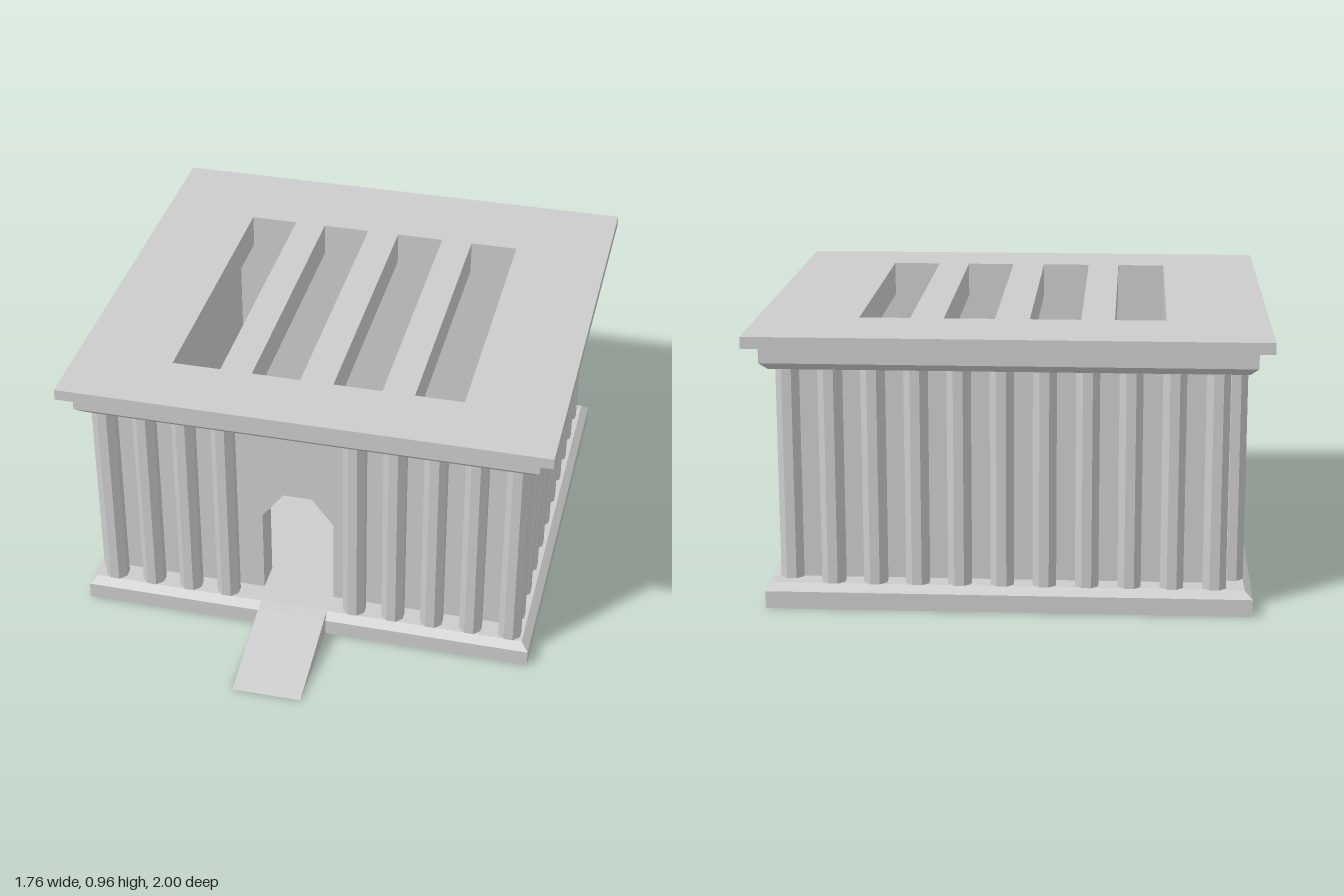
import * as THREE from 'three';

const material = new THREE.MeshStandardMaterial({ color: 0xcccccc, flatShading: true });

function add(group, name, geometry, x = 0, y = 0, z = 0) {
  const mesh = new THREE.Mesh(geometry, material);
  mesh.name = name;
  mesh.position.set(x, y, z);
  group.add(mesh);
  return mesh;
}

// Box given by its limits
function block(group, name, x0, x1, y0, y1, z0, z1) {
  return add(group, name, new THREE.BoxGeometry(x1 - x0, y1 - y0, z1 - z0),
    (x0 + x1) / 2, (y0 + y1) / 2, (z0 + z1) / 2);
}

function polygon(points, Type = THREE.Shape) {
  return new Type(points.map(([x, y]) => new THREE.Vector2(x, y)));
}

// Rectangle in plan; extruding and turning it flat maps shape y to -z
function planRect(x0, x1, z0, z1, Type) {
  return polygon([[x0, -z0], [x0, -z1], [x1, -z1], [x1, -z0]], Type);
}

const slotRects = [-0.44, -0.148, 0.148, 0.44].map((x) => [x - 0.088, x + 0.088, -0.66, 0.41]);

// Horizontal slab with the four roof slots cut through it
function slottedSlab(group, name, x, z0, z1, y0, y1) {
  const shape = planRect(-x, x, z0, z1);
  slotRects.forEach((r) => shape.holes.push(planRect(...r, THREE.Path)));
  const geometry = new THREE.ExtrudeGeometry(shape, { depth: y1 - y0, bevelEnabled: false });
  add(group, name, geometry.rotateX(-Math.PI / 2), 0, y0, 0);
}

// Sloped band between the rectangle at y0 and a differently inset one at y1
function slopedBand(group, name, y0, inset0, y1, inset1) {
  const ring = (y, d) => [[-0.83 + d, y, 0.63 - d], [0.83 - d, y, 0.63 - d],
    [0.83 - d, y, -0.95 + d], [-0.83 + d, y, -0.95 + d]];
  const a = ring(y0, inset0), b = ring(y1, inset1), positions = [];
  for (let i = 0; i < 4; i++) {
    const j = (i + 1) % 4;
    [a[i], a[j], b[j], a[i], b[j], b[i]].forEach((p) => positions.push(...p));
  }
  const geometry = new THREE.BufferGeometry();
  geometry.setAttribute('position', new THREE.Float32BufferAttribute(positions, 3));
  geometry.computeVertexNormals();
  add(group, name, geometry);
}

export function createModel() {
  const model = new THREE.Group();
  const floorY = 0.085, ceilingY = 0.835;

  // Stepped base with a sloped upper edge
  block(model, 'base', -0.83, 0.83, 0, 0.06, -0.95, 0.63);
  slopedBand(model, 'baseSlope', 0.06, 0, floorY, 0.027);
  block(model, 'floor', -0.803, 0.803, 0.06, floorY, -0.923, 0.603);

  // Entrance ramp
  const rampShape = polygon([[-1, 0], [-0.645, 0.08], [-0.6, 0.087], [-0.6, 0]].reverse());
  const ramp = new THREE.ExtrudeGeometry(rampShape, { depth: 0.25, bevelEnabled: false });
  add(model, 'ramp', ramp.rotateY(Math.PI / 2), -0.17, 0, 0);

  // Front wall with the chamfered doorway
  const front = polygon([
    [-0.72, floorY], [-0.18, floorY], [-0.18, 0.42], [-0.1, 0.525], [0.005, 0.525],
    [0.085, 0.42], [0.085, floorY], [0.72, floorY], [0.72, ceilingY], [-0.72, ceilingY],
  ]);
  add(model, 'frontWall',
    new THREE.ExtrudeGeometry(front, { depth: 0.11, bevelEnabled: false }), 0, 0, 0.41);

  // Remaining walls around the hall
  block(model, 'backWall', -0.72, 0.72, floorY, ceilingY, -0.85, -0.74);
  for (const side of [-1, 1]) {
    const x = side * 0.665;
    block(model, side > 0 ? 'leftWall' : 'rightWall', x - 0.055, x + 0.055, floorY, ceilingY, -0.74, 0.41);
  }

  // Octagonal columns, one row for each side of the building
  const columns = new THREE.Group();
  columns.name = 'columns';
  model.add(columns);
  const shaft = new THREE.CylinderGeometry(0.043, 0.043, ceilingY - floorY, 8, 1, true, Math.PI / 8);
  const column = (x, z) => add(columns, 'column', shaft, x, (floorY + ceilingY) / 2, z);
  const step = 0.1445;
  for (let i = 0; i < 5; i++) column(0.175 + i * step, 0.565);
  for (let i = 0; i < 4; i++) column(-0.737 + i * step, 0.565);
  for (let i = 0; i < 10; i++) {
    column(0.75, 0.46 - i * step);
    column(0.6 - i * step, -0.89);
    column(-0.763, -0.785 + i * step);
  }

  // Round dais inside the hall
  add(model, 'dais', new THREE.CylinderGeometry(0.183, 0.183, 0.045, 16), -0.05, floorY + 0.0225, -0.52);

  // Roof: sloped underside, entablature and overhanging top slab
  slopedBand(model, 'roofSlope', ceilingY, 0.027, 0.86, 0);
  slottedSlab(model, 'ceiling', 0.803, -0.923, 0.603, ceilingY, 0.86);
  slottedSlab(model, 'entablature', 0.83, -0.95, 0.63, 0.86, 0.92);
  slottedSlab(model, 'roofSlab', 0.88, -1, 0.67, 0.92, 0.96);

  return model;
}
